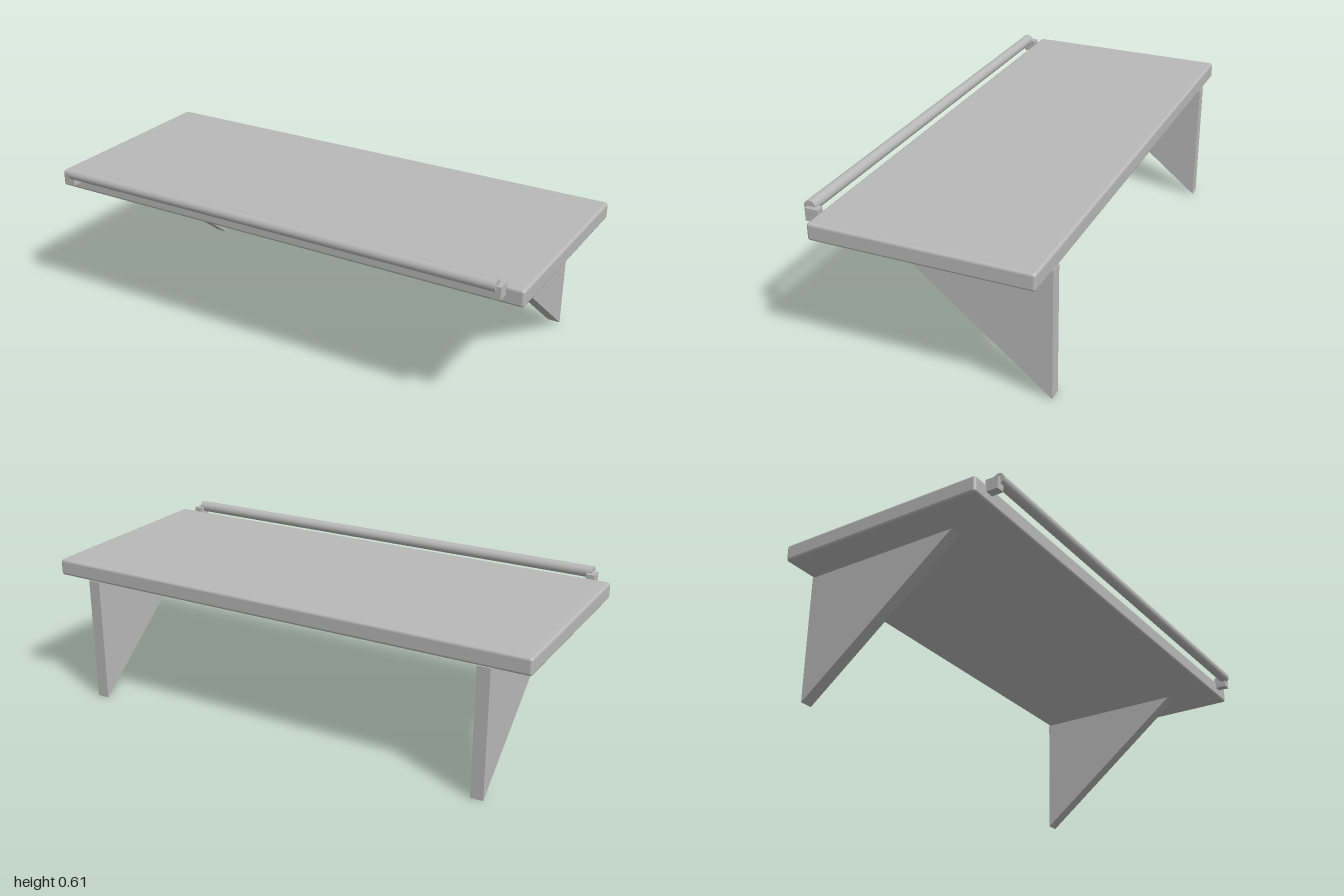
import * as THREE from 'three';
import { RoundedBoxGeometry } from 'three/addons/geometries/RoundedBoxGeometry.js';

export function createModel() {
  const group = new THREE.Group();
  const grey = new THREE.MeshStandardMaterial({ color: 0xb8b8b8 });
  grey.name = 'light grey';

  const add = (name, geometry, x, y, z) => {
    const mesh = new THREE.Mesh(geometry, grey);
    mesh.name = name;
    mesh.position.set(x, y, z);
    group.add(mesh);
    return mesh;
  };

  // Shelf board with softened edges
  add('shelfBoard', new RoundedBoxGeometry(2, 0.066, 0.832, 3, 0.011), 0, 0.536, -0.029);

  // Triangular support profile, drawn in (z, y)
  const triangle = new THREE.Shape([
    new THREE.Vector2(-0.445, 0),
    new THREE.Vector2(0.19, 0.504),
    new THREE.Vector2(-0.445, 0.504),
  ]);
  const bracketGeometry = new THREE.ExtrudeGeometry(triangle, { depth: 0.05, bevelEnabled: false });
  bracketGeometry.translate(0, 0, -0.025);
  bracketGeometry.rotateY(-Math.PI / 2); // profile x becomes z

  for (const [side, s] of [['left', 1], ['right', -1]]) {
    add(side + 'Bracket', bracketGeometry, s * 0.832, 0, 0);
    // Block that carries the rail end
    add(side + 'RailMount', new THREE.BoxGeometry(0.033, 0.048, 0.05), s * 0.918, 0.561, 0.407);
  }

  // Round rail along the front edge
  const rail = new THREE.CylinderGeometry(0.0225, 0.0225, 1.836, 32);
  rail.rotateZ(Math.PI / 2);
  add('frontRail', rail, 0, 0.584, 0.4225);

  return group;
}
